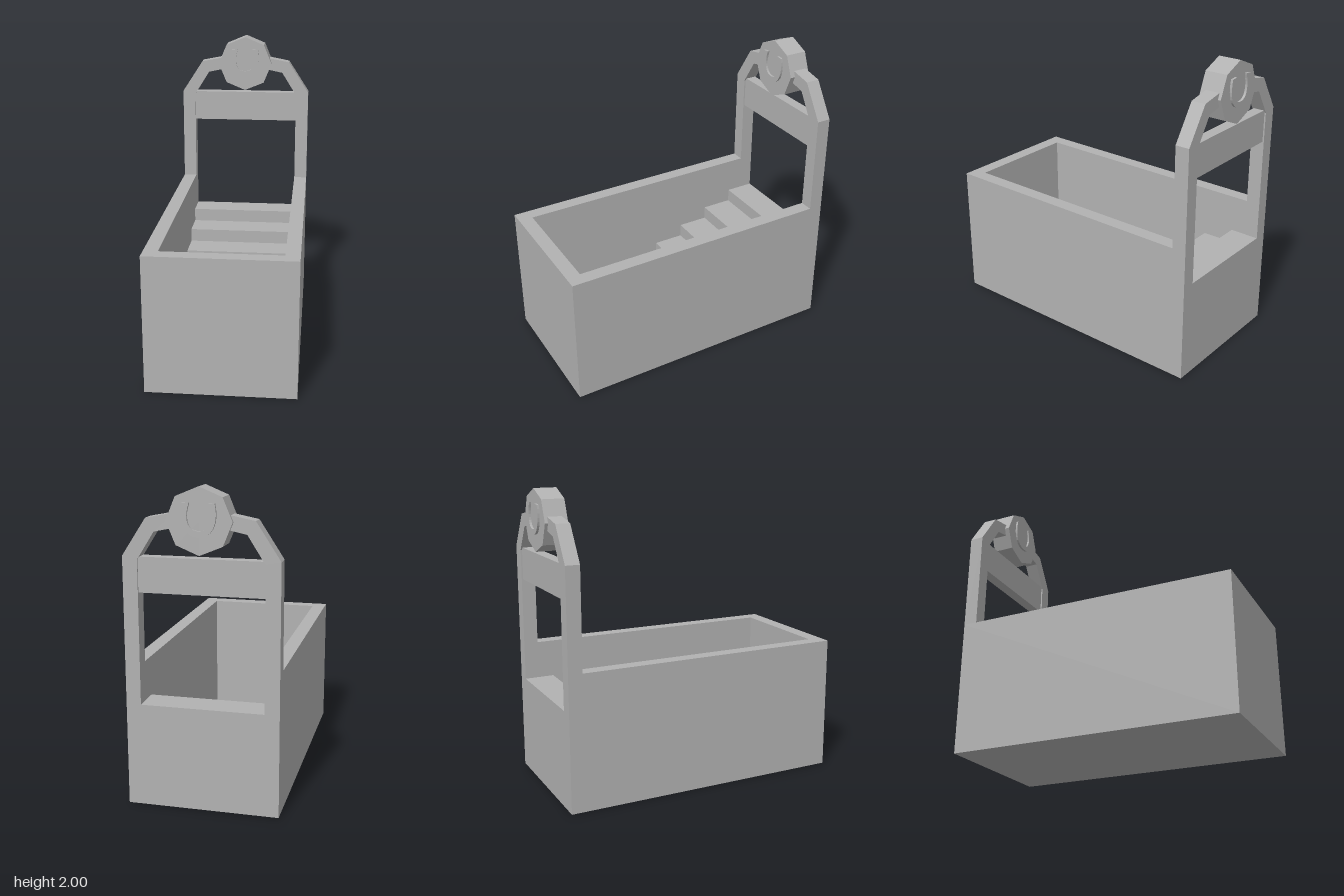
import * as THREE from 'three';

const stone = new THREE.MeshStandardMaterial({ color: 0xb2b2b2 });
stone.name = 'plain grey';

function add(group, name, geometry) {
  const mesh = new THREE.Mesh(geometry, stone);
  mesh.name = name;
  group.add(mesh);
  return mesh;
}

// Extrude a closed outline along +z, starting at z = 0
function extrude(points, depth) {
  const shape = new THREE.Shape(points.map(([x, y]) => new THREE.Vector2(x, y)));
  return new THREE.ExtrudeGeometry(shape, { depth, bevelEnabled: false });
}

export function createModel() {
  const model = new THREE.Group();
  model.name = 'entranceStairwell';
  const out = 0.48, inn = 0.387, back = -0.94, front = 0.98, innerFront = 0.885;

  // Side and front walls, a U in plan, open towards the back
  const walls = extrude([
    [-out, -back], [-out, -front], [out, -front], [out, -back],
    [inn, -back], [inn, -innerFront], [-inn, -innerFront], [-inn, -back],
  ], 0.91);
  walls.rotateX(-Math.PI / 2);
  add(model, 'walls', walls);

  // Stairs descending from the back sill to the floor, as a (z, y) profile
  const steps = 7, rise = 0.094, run = 0.2175, floor = 0.005;
  const profile = [[back, 0], [back, steps * rise]];
  for (let i = 0; i < steps; i++) {
    const z = -0.74 + i * run;
    profile.push([z, (steps - i) * rise]);
    profile.push([z, i === steps - 1 ? floor : (steps - i - 1) * rise]);
  }
  profile.push([innerFront, floor], [innerFront, 0]);
  const stairs = extrude(profile, 2 * inn);
  stairs.translate(0, 0, -inn);
  stairs.rotateY(-Math.PI / 2);
  add(model, 'stairs', stairs);

  // Gate posts bending into the angled arch
  const half = [
    [inn, 0.91], [out, 0.91], [out, 1.58], [0.33, 1.81], [0.15, 1.845],
    [0.15, 1.757], [0.28, 1.73], [inn, 1.56],
  ];
  for (const [name, s] of [['leftPostAndArch', 1], ['rightPostAndArch', -1]]) {
    const post = extrude(half.map(([x, y]) => [s * x, y]), 0.095);
    add(model, name, post).position.z = back;
  }

  // Lintel board between the posts
  const lintel = add(model, 'lintel', new THREE.BoxGeometry(2 * inn, 0.217, 0.075));
  lintel.position.set(0, 1.4685, -0.8925);

  // Octagonal medallion at the crown of the arch
  const medallion = new THREE.CylinderGeometry(0.2, 0.2, 0.15, 8).toNonIndexed();
  medallion.computeVertexNormals();
  medallion.rotateX(Math.PI / 2);
  add(model, 'medallion', medallion).position.set(0, 1.8, -0.885);

  // Horseshoe showing on both faces of the medallion
  const shoe = new THREE.Shape();
  shoe.moveTo(-0.098, 1.905);
  shoe.bezierCurveTo(-0.118, 1.82, -0.1, 1.71, 0, 1.71);
  shoe.bezierCurveTo(0.1, 1.71, 0.118, 1.82, 0.098, 1.905);
  shoe.lineTo(0.055, 1.908);
  shoe.lineTo(0.058, 1.895);
  shoe.bezierCurveTo(0.08, 1.83, 0.075, 1.745, 0, 1.745);
  shoe.bezierCurveTo(-0.075, 1.745, -0.08, 1.83, -0.058, 1.895);
  shoe.lineTo(-0.055, 1.908);
  shoe.closePath();
  const shoeGeometry = new THREE.ExtrudeGeometry(shoe, { depth: 0.18, bevelEnabled: false, curveSegments: 10 });
  add(model, 'horseshoe', shoeGeometry).position.z = -0.975;

  return model;
}
